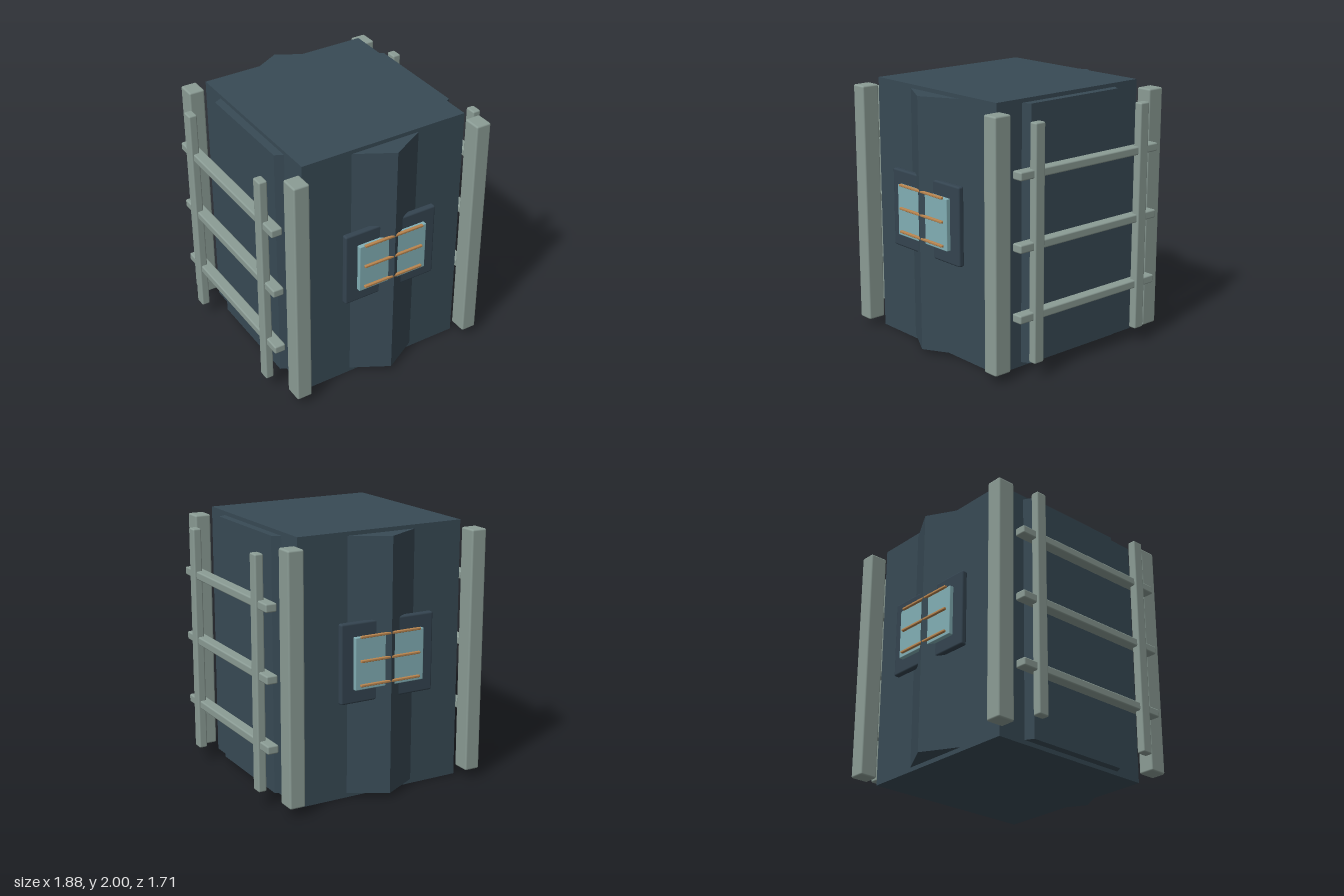
import * as THREE from 'three';
import { RoundedBoxGeometry } from 'three/addons/geometries/RoundedBoxGeometry.js';

const mat = (name, color) => {
  const m = new THREE.MeshStandardMaterial({ color });
  m.name = name;
  return m;
};

export function createModel() {
  const hull = mat('slate hull', 0x384a55);
  const frame = mat('dark frame', 0x344450);
  const metal = mat('grey green metal', 0x8b9c95);
  const glass = mat('pale teal glass', 0x82afb5);
  const copper = mat('copper', 0xb9854f);

  const add = (parent, name, geometry, material) => {
    const mesh = new THREE.Mesh(geometry, material);
    mesh.name = name;
    parent.add(mesh);
    return mesh;
  };
  // softened box of size w, h, d centred on x, y, z
  const block = (parent, name, material, [w, h, d], [x, y, z], r = 0.012) =>
    add(parent, name, new RoundedBoxGeometry(w, h, d, 2, r), material).position.set(x, y, z);
  // upright prism from an outline of [x, z] points
  const prism = (points, y0, y1) => {
    const shape = new THREE.Shape(points.map(([x, z]) => new THREE.Vector2(x, -z)));
    const geometry = new THREE.ExtrudeGeometry(shape, { depth: y1 - y0, bevelEnabled: false });
    return geometry.rotateX(-Math.PI / 2).translate(0, y0, 0);
  };

  const model = new THREE.Group();
  model.name = 'container';
  add(model, 'body', new THREE.BoxGeometry(1.36, 2, 1.4), hull).position.y = 1;

  // front and back: wedge with a barred window
  for (const [side, turn] of [['front', 0], ['back', Math.PI]]) {
    const end = new THREE.Group();
    end.name = side + 'End';
    end.rotation.y = turn;
    model.add(end);
    add(end, 'wedge', prism([[-0.28, 0.69], [-0.28, 0.7], [0, 0.856], [0.28, 0.7], [0.28, 0.69]], 0.033, 1.97), hull);
    block(end, 'windowFrame', frame, [0.776, 0.6, 0.05], [0, 1.063, 0.777], 0.015);
    block(end, 'window', glass, [0.576, 0.392, 0.045], [0, 1.064, 0.812], 0.006);
    for (const y of [0.902, 1.083, 1.263])
      block(end, 'windowBar', copper, [0.5, 0.018, 0.024], [0, y, 0.842], 0.005);
  }

  // left and right: raised panel with a ladder rack
  for (const [side, turn] of [['left', 0], ['right', Math.PI]]) {
    const flank = new THREE.Group();
    flank.name = side + 'Flank';
    flank.rotation.y = turn;
    model.add(flank);
    add(flank, 'sidePanel', prism([[0.67, 0.47], [0.68, 0.465], [0.742, 0.43], [0.742, -0.43], [0.68, -0.465], [0.67, -0.47]], 0.033, 1.97), hull);
    for (const y of [0.482, 1.002, 1.522])
      block(flank, 'rackRung', metal, [0.088, 0.064, 1.38], [0.878, y, 0]);
    for (const z of [-0.522, 0.522])
      block(flank, 'rackUpright', metal, [0.066, 1.76, 0.09], [0.905, 1.002, z]);
  }

  // corner posts
  for (const x of [-0.76, 0.76])
    for (const z of [-0.763, 0.763])
      block(model, 'cornerPost', metal, [0.125, 1.88, 0.145], [x, 1.002, z], 0.014);

  return model;
}
